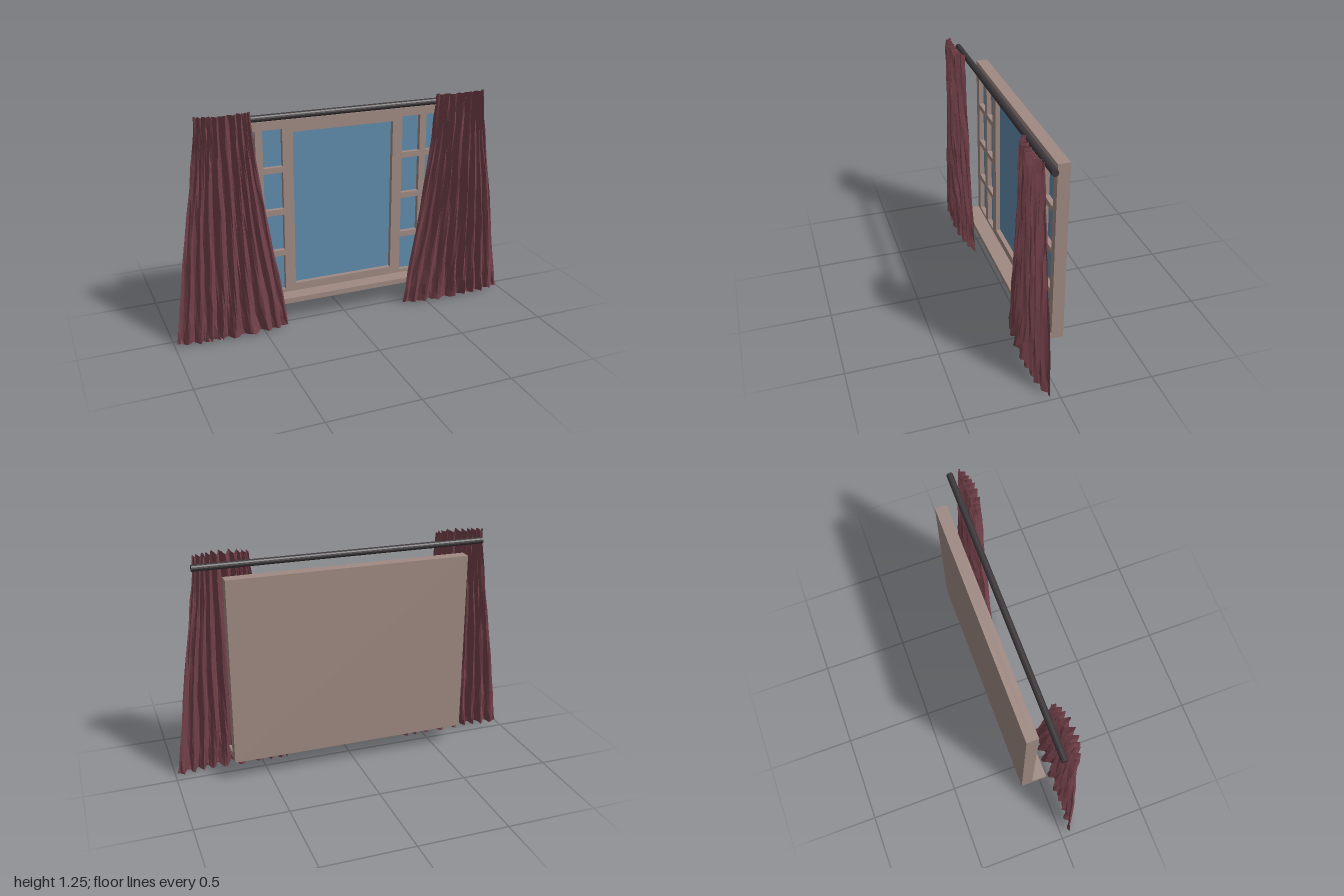
import * as THREE from 'three';

const mat = (color, side = THREE.FrontSide) =>
  new THREE.MeshStandardMaterial({ color, side, flatShading: true });
const wood = mat(0x9f8982);
const glassMat = mat(0x5f8cab);
const metal = mat(0x3b3639);
const cloth = mat(0x75424b, THREE.DoubleSide);

const CX = 0.025; // centre line of the window

function add(group, name, geometry, material, x = 0, y = 0, z = 0) {
  const mesh = new THREE.Mesh(geometry, material);
  mesh.name = name;
  mesh.position.set(x, y, z);
  group.add(mesh);
  return mesh;
}

function rect(path, x0, y0, x1, y1) {
  path.moveTo(x0, y0);
  path.lineTo(x1, y0);
  path.lineTo(x1, y1);
  path.lineTo(x0, y1);
  path.closePath();
  return path;
}

// Window: back board, glass sheet, and a front lattice cut by pane openings
function makeWindow() {
  const g = new THREE.Group();
  g.name = 'window';
  const w = 0.672, y0 = 0.125, y1 = 1.16;
  add(g, 'backBoard', new THREE.BoxGeometry(2 * w, y1 - y0, 0.03), wood, CX, (y0 + y1) / 2, -0.11);
  add(g, 'glass', new THREE.BoxGeometry(2 * w - 0.06, y1 - y0 - 0.06, 0.008), glassMat, CX, (y0 + y1) / 2, -0.091);

  const shape = rect(new THREE.Shape(), -w, y0, w, y1);
  shape.holes.push(rect(new THREE.Path(), -0.295, 0.2, 0.295, 1.09));
  for (const s of [-1, 1])
    for (const [a, b] of [[0.355, 0.465], [0.505, 0.625]])
      for (let r = 0; r < 4; r++) {
        const y = 0.173 + r * 0.243;
        const [x0, x1] = s > 0 ? [a, b] : [-b, -a];
        shape.holes.push(rect(new THREE.Path(), x0, y, x1, y + 0.21));
      }
  const lattice = new THREE.ExtrudeGeometry(shape, { depth: 0.035, bevelEnabled: false });
  add(g, 'frameLattice', lattice, wood, CX, 0, -0.095);
  add(g, 'sill', new THREE.BoxGeometry(2 * w, 0.03, 0.087), wood, CX, 0.14, -0.0165);
  return g;
}

// Curtain: pleated sheet that flares from a gathered top to a wide hem
function curtainGeometry() {
  const cols = 52, rows = 12;
  const outer = new THREE.SplineCurve([[0, 0.99], [0.2, 0.96], [0.6, 0.91], [1, 0.85], [1.25, 0.825]]
    .map(([y, x]) => new THREE.Vector2(x, y)));
  const inner = new THREE.SplineCurve([[0, 0.355], [0.2, 0.385], [0.6, 0.45], [1, 0.51], [1.25, 0.53]]
    .map(([y, x]) => new THREE.Vector2(x, y)));
  let seed = 7;
  const rand = () => {
    seed = (seed * 16807) % 2147483647;
    return seed / 2147483647 - 0.5;
  };
  const geo = new THREE.PlaneGeometry(1, 1, cols, rows);
  const p = geo.attributes.position;
  for (let i = 0; i < p.count; i++) {
    const u = p.getX(i) + 0.5, v = p.getY(i) + 0.5;
    const a = inner.getPoint(v), b = outer.getPoint(v);
    const rim = v < 0.01 || v > 0.99;
    // uneven pleats that wander a little with height
    const phase = u * 9 + 0.16 * Math.sin(v * 6 + u * 9) + 0.3 * Math.sin(u * 7);
    const pleat = Math.sin(phase * Math.PI * 2);
    const bow = Math.pow(Math.max(0, Math.sin(Math.PI * u)), 0.5);
    const z = 0.046 + 0.035 * bow + pleat * (0.006 + 0.022 * bow) + rand() * 0.008;
    const x = a.x + (b.x - a.x) * u + rand() * 0.006;
    const y = a.y + (rim ? pleat * 0.005 + rand() * 0.008 : rand() * 0.03) + (v < 0.01 ? 0.012 : 0);
    p.setXYZ(i, x, Math.max(0, y), THREE.MathUtils.clamp(z, 0.04, 0.12));
  }
  geo.computeVertexNormals();
  return geo;
}

// Mirrors a geometry across x = 0, keeping faces wound outward
function mirrorX(geometry) {
  const geo = geometry.clone().scale(-1, 1, 1);
  const idx = geo.index;
  for (let i = 0; i < idx.count; i += 3) {
    const t = idx.getX(i);
    idx.setX(i, idx.getX(i + 1));
    idx.setX(i + 1, t);
  }
  geo.computeVertexNormals();
  return geo;
}

export function createModel() {
  const model = new THREE.Group();
  model.name = 'curtainedWindow';
  model.add(makeWindow());

  // Curtain rod
  const rod = new THREE.CylinderGeometry(0.018, 0.018, 1.64, 14).rotateZ(Math.PI / 2);
  add(model, 'curtainRod', rod, metal, 0.02, 1.2, 0.008);

  // Pair of curtains
  const left = curtainGeometry();
  add(model, 'leftCurtain', left, cloth);
  add(model, 'rightCurtain', mirrorX(left), cloth);
  return model;
}
